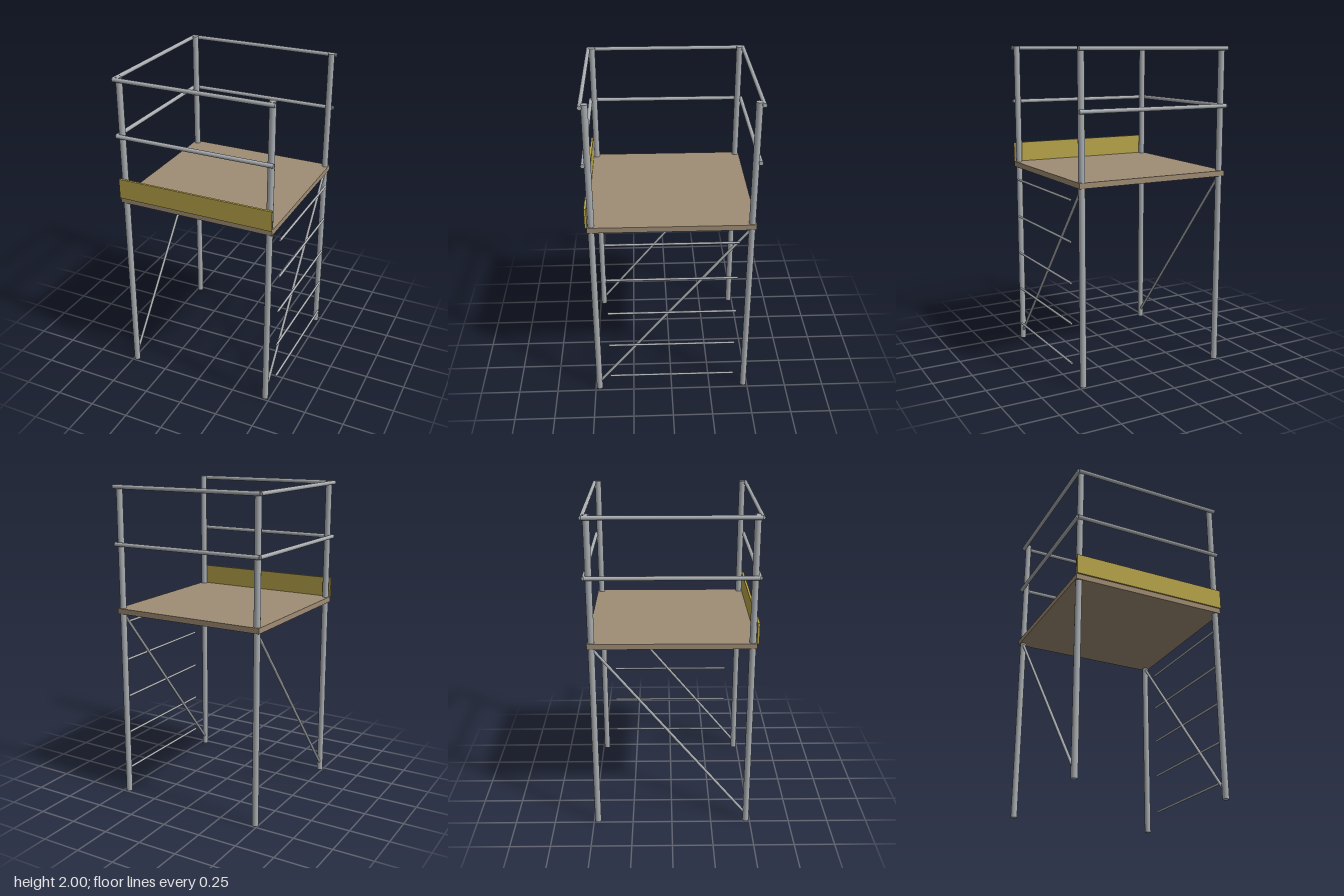
import * as THREE from 'three';

export function createModel() {
  const model = new THREE.Group();
  model.name = 'scaffoldTower';

  const material = (name, color) => {
    const m = new THREE.MeshStandardMaterial({ color });
    m.name = name;
    return m;
  };
  const steel = material('steel', 0xaaaeb2);
  const plywood = material('plywood', 0x9f8c74);
  const yellow = material('yellowBoard', 0xb8a54a);

  const CX = -0.005; // frame centre; the rungs overhang on one side
  const HALF = 0.5;
  const POST = 0.475;

  const add = (name, geometry, mat) => {
    const mesh = new THREE.Mesh(geometry, mat);
    mesh.name = name;
    model.add(mesh);
    return mesh;
  };

  // Straight round bar between two points
  const bar = (name, from, to, radius) => {
    const a = new THREE.Vector3(...from);
    const b = new THREE.Vector3(...to);
    const mesh = add(name, new THREE.CylinderGeometry(radius, radius, a.distanceTo(b), 12), steel);
    mesh.position.copy(a).add(b).multiplyScalar(0.5);
    mesh.quaternion.setFromUnitVectors(new THREE.Vector3(0, 1, 0), b.sub(a).normalize());
  };

  // Corner posts and a diagonal brace on each side
  for (const side of [-1, 1]) {
    const x = CX + side * POST;
    for (const z of [-POST, POST]) bar('post', [x, 0, z], [x, 2, z], 0.02);
    bar('brace', [x, 0.045, POST], [x, 1.205, -POST], 0.009);
  }

  // Deck and toe board
  add('deck', new THREE.BoxGeometry(1, 0.034, 1), plywood).position.set(CX, 1.222, 0);
  add('toeBoard', new THREE.BoxGeometry(1, 0.126, 0.014), yellow).position.set(CX, 1.302, 0.503);

  // Guard rails on front, back and one side
  for (const y of [1.64, 1.987]) {
    for (const z of [-HALF, HALF]) bar('guardRail', [CX - HALF, y, z], [CX + HALF, y, z], 0.013);
    bar('sideGuardRail', [CX - HALF, y, -HALF], [CX - HALF, y, HALF], 0.013);
  }

  // Ladder rungs
  for (let i = 0; i < 5; i++) {
    const y = 0.129 + i * 0.25;
    bar('rung', [0.508, y, -0.4], [0.508, y, 0.4], 0.0075);
  }

  return model;
}
